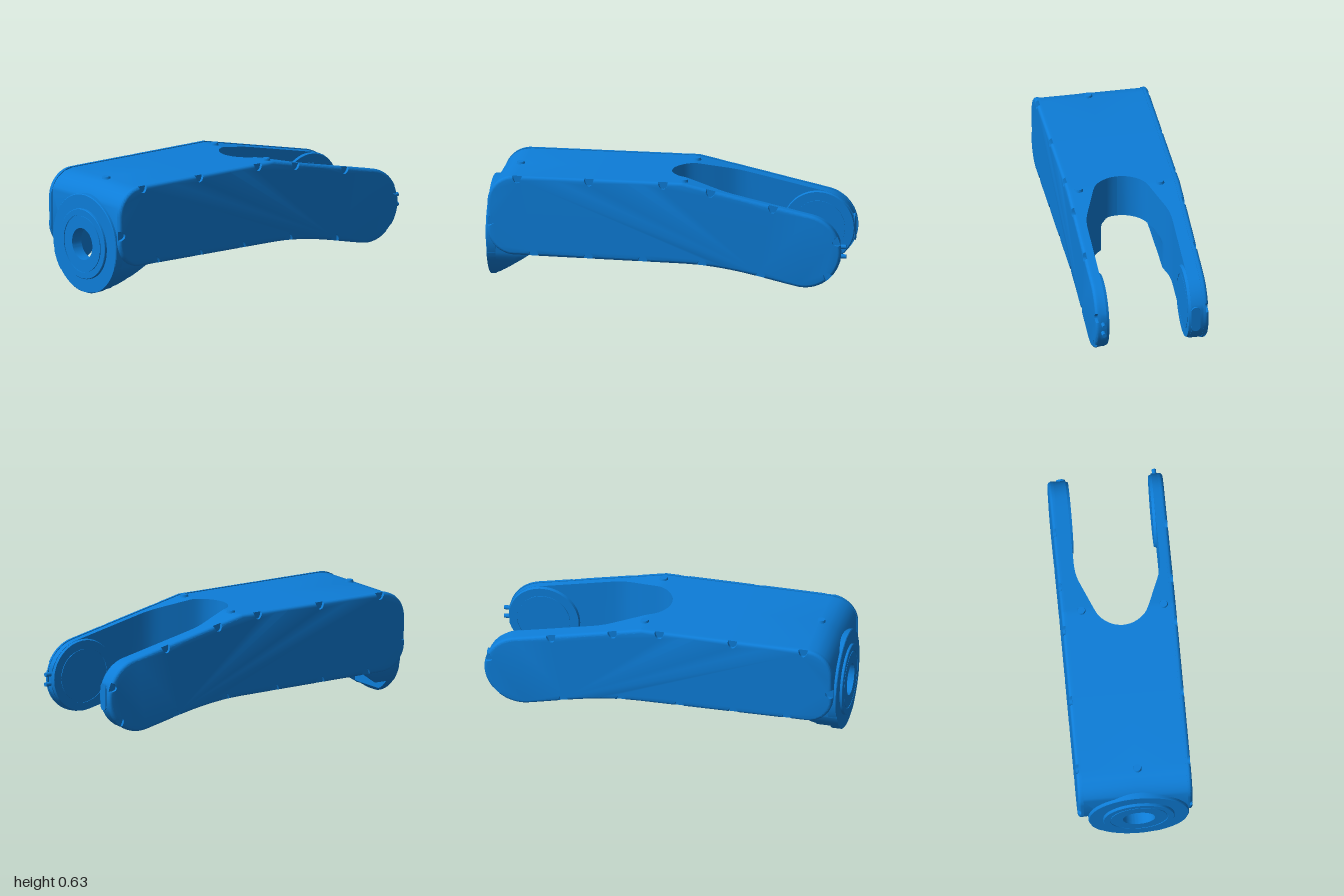
import * as THREE from 'three';
import { toCreasedNormals } from 'three/addons/utils/BufferGeometryUtils.js';

const material = new THREE.MeshStandardMaterial({ color: 0x0d7dd8 });
const MID = 0.015;          // z of the fork's centre plane
const AXIS_Y = 0.275;       // height of the rear flange axis
const V = (x, y, z) => new THREE.Vector3(x, y, z);

// Skins a list of equal-length closed rings and caps both ends.
// flat(p) projects a ring point to 2D for the caps.
function skin(rings, flat) {
  const tris = [];
  for (let k = 0; k + 1 < rings.length; k++) {
    const a = rings[k], b = rings[k + 1], n = a.length;
    for (let i = 0; i < n; i++) {
      const j = (i + 1) % n;
      tris.push([a[i], a[j], b[j]], [a[i], b[j], b[i]]);
    }
  }
  const cap = (ring, reverse) => {
    const c = ring.map(flat), sign = THREE.ShapeUtils.area(c);
    for (const [p, q, r] of THREE.ShapeUtils.triangulateShape(c.slice(), [])) {
      const same = THREE.ShapeUtils.area([c[p], c[q], c[r]]) * sign > 0;
      tris.push(same !== reverse ? [ring[p], ring[q], ring[r]] : [ring[p], ring[r], ring[q]]);
    }
  };
  cap(rings[0], true);
  cap(rings[rings.length - 1], false);
  // Turn everything outward if the enclosed volume is negative
  const volume = tris.reduce((s, [a, b, c]) => s + a.dot(V(0, 0, 0).crossVectors(b, c)), 0);
  const pos = [];
  for (const [a, b, c] of tris)
    for (const p of volume < 0 ? [a, c, b] : [a, b, c]) pos.push(p.x, p.y, p.z);
  const g = new THREE.BufferGeometry();
  g.setAttribute('position', new THREE.Float32BufferAttribute(pos, 3));
  return toCreasedNormals(g, 0.5);
}

// Side outline shared by the covers and the body
function sideOutline() {
  const s = new THREE.Shape();
  s.moveTo(-0.975, 0.475);
  s.lineTo(-0.975, 0.33);
  s.absarc(-0.825, 0.33, 0.15, Math.PI, 1.5 * Math.PI, false);
  s.lineTo(0.1, 0.17);
  s.bezierCurveTo(0.35, 0.165, 0.5, 0.118, 0.727, 0.0695);
  s.absarc(0.77, 0.27, 0.205, -1.78, 1.35, false);
  s.lineTo(0.1, 0.625);
  s.lineTo(-0.825, 0.625);
  s.absarc(-0.825, 0.475, 0.15, Math.PI / 2, Math.PI, false);
  return s.getSpacedPoints(700).slice(0, -1);
}

// Lowest and highest y of the outline at a given x
function spanAt(outline, x) {
  const ys = [];
  outline.forEach((p, i) => {
    const q = outline[(i + 1) % outline.length];
    if ((p.x - x) * (q.x - x) <= 0 && p.x !== q.x) ys.push(p.y + (q.y - p.y) * (x - p.x) / (q.x - p.x));
  });
  return [Math.min(...ys) + 0.004, Math.max(...ys) - 0.004];
}

// Rounded cover plate with screw notches round its edge
function coverGeometry(outline, z0, thick, side) {
  const n = outline.length;
  const centres = [[-0.81, 0.62], [-0.415, 0.62], [-0.005, 0.62], [0.26, 0.58], [0.6, 0.505],
    [0.96, 0.335], [0.91, 0.125], [0.53, 0.12], [0.21, 0.17], [-0.12, 0.175], [-0.42, 0.178],
    [-0.72, 0.18], [-0.972, 0.365]].map(([x, y]) => {
    const c = new THREE.Vector2(x, y);
    return outline.reduce((best, p) => (p.distanceTo(c) < best.distanceTo(c) ? p : best));
  });
  const notch = outline.map(p => {
    const d = Math.min(...centres.map(c => c.distanceTo(p)));
    return d < 0.02 ? 0.018 + Math.sqrt(0.0004 - d * d) : 0;
  });
  const inward = outline.map((p, i) => {
    const t = outline[(i + 1) % n].clone().sub(outline[(i + n - 1) % n]).normalize();
    return new THREE.Vector2(-t.y, t.x);
  });
  const levels = [[0, 0, 0], [thick - 0.016, 0, 0], [thick - 0.016, 0, 1], [thick - 0.011, 0.001, 1],
    [thick - 0.006, 0.004, 1], [thick - 0.002, 0.009, 1], [thick, 0.016, 1]];
  const rings = levels.map(([h, inset, cut]) => outline.map((p, i) => {
    const d = Math.max(inset, cut * notch[i]);
    return V(p.x + inward[i].x * d, p.y + inward[i].y * d, z0 + side * h);
  }));
  return skin(rings, p => new THREE.Vector2(p.x, p.y));
}

// Half of the body with its fork arm; the lower channel has a rounded ceiling
function bodyGeometry(outline, side, outer, channel) {
  const scoop = new THREE.SplineCurve([[0, 0], [0.003, 0.03], [0.012, 0.06], [0.04, 0.105], [0.085, 0.14],
    [0.2, 0.185], [0.31, 0.225], [0.38, 0.235]].map(p => new THREE.Vector2(...p))).getSpacedPoints(24);
  const stations = [-0.968, -0.96, -0.945, -0.92, -0.88, -0.825, -0.4].map(x => [x, 0]);
  scoop.forEach(p => stations.push([p.x, p.y]));
  for (const x of [0.45, 0.52, 0.6, 0.66, 0.727, 0.77, 0.815, 0.85, 0.88, 0.91, 0.935, 0.955, 0.966])
    stations.push([x, 0.235]);
  const rings = stations.map(([x, inner]) => {
    const [low, high] = spanAt(outline, x);
    const pts = [[outer, low], [outer, high], [inner, high], [inner, 0.37]];
    for (let i = 0; i <= 6; i++) {
      const a = i / 6 * Math.PI / 2;
      pts.push([channel - 0.06 + 0.06 * Math.sin(a), 0.31 + 0.06 * Math.cos(a)]);
    }
    pts.push([channel, low]);
    return pts.map(([w, y]) =>
      V(x, THREE.MathUtils.clamp(y, low, high), MID + side * Math.max(w, inner)));
  });
  return skin(rings, p => new THREE.Vector2(p.z, p.y));
}

// Sloping underside that joins the body to the round flange
const slopeY = x => Math.max(0, (x + 0.985) / 0.245 * 0.18);
function hubGeometry(side, channel) {
  const rings = [];
  for (let k = 0; k <= 8; k++) {
    const x = -0.985 + 0.245 * k / 8, ring = [];
    for (let i = 0; i <= 14; i++) {
      const w = channel + (0.258 - channel) * i / 14;
      ring.push(V(x, Math.max(AXIS_Y - Math.sqrt(0.275 ** 2 - w * w), slopeY(x)), MID + side * w));
    }
    const roof = k === 0 ? 0.3 : 0.32;
    ring.push(V(x, roof, MID + side * 0.258), V(x, roof, MID + side * channel));
    rings.push(ring);
  }
  return skin(rings, p => new THREE.Vector2(p.z, p.y));
}

const lathe = profile => new THREE.LatheGeometry(profile.map(p => new THREE.Vector2(...p)), 64);

export function createModel() {
  const group = new THREE.Group();
  const add = (name, geometry) => {
    const mesh = new THREE.Mesh(geometry, material);
    mesh.name = name;
    group.add(mesh);
    return mesh;
  };
  const outline = sideOutline();

  // Body halves, covers and hub undersides
  add('leftBodyArm', bodyGeometry(outline, 1, 0.27, 0.095));
  add('rightBodyArm', bodyGeometry(outline, -1, 0.3, 0.205));
  add('frontCover', coverGeometry(outline, 0.285, 0.026, 1));
  add('rearCover', coverGeometry(outline, -0.285, 0.03, -1));
  add('frontHubUnderside', hubGeometry(1, 0.095));
  add('rearHubUnderside', hubGeometry(-1, 0.205));

  // Round end flange with a through hole, trimmed to the sloping underside
  const flange = lathe([[0.088, 0], [0.275, 0], [0.275, 0.046], [0.271, 0.05], [0.088, 0.05], [0.088, 0]])
    .rotateZ(Math.PI / 2).translate(-0.935, AXIS_Y, MID);
  const pos = flange.attributes.position;
  for (let i = 0; i < pos.count; i++) pos.setY(i, Math.max(pos.getY(i), slopeY(pos.getX(i))));
  add('flange', toCreasedNormals(flange, 0.5));
  add('flangeRing', toCreasedNormals(lathe([[0.088, 0], [0.195, 0], [0.195, 0.012], [0.192, 0.015],
    [0.16, 0.015], [0.16, 0.01], [0.154, 0.01], [0.154, 0.015], [0.088, 0.015], [0.088, 0]])
    .rotateZ(Math.PI / 2).translate(-0.985, AXIS_Y, MID), 0.5));

  // Pivot discs on the inner faces of the fork tips
  for (const s of [1, -1])
    add(s > 0 ? 'frontPivotDisc' : 'rearPivotDisc', toCreasedNormals(lathe([[0, 0], [0.2, 0], [0.195, 0.015],
      [0.152, 0.015], [0.152, 0.011], [0.146, 0.011], [0.146, 0.015], [0, 0.015]])
      .rotateX(-s * Math.PI / 2).translate(0.77, 0.27, MID + s * 0.235), 0.5));

  // Screws on the top and at the front fork tip
  for (const [x, z] of [[0.1, -0.205], [0.1, 0.245], [-0.835, 0.02]])
    add('topScrew', new THREE.CylinderGeometry(0.02, 0.024, 0.014, 20)).position.set(x, 0.625, z);
  for (const y of [0.242, 0.296])
    add('tipScrew', new THREE.CylinderGeometry(0.012, 0.012, 0.04, 16).rotateZ(Math.PI / 2))
      .position.set(0.98, y, 0.27);

  // Connector pad on the rear fork tip
  const pad = new THREE.Shape();
  pad.absarc(0, 0.05, 0.025, 0, Math.PI, false);
  pad.absarc(0, -0.05, 0.025, Math.PI, 2 * Math.PI, false);
  add('connectorPad', new THREE.ExtrudeGeometry(pad, { depth: 0.03, bevelEnabled: false, curveSegments: 12 })
    .rotateY(Math.PI / 2)).position.set(0.94, 0.27, -0.243);
  return group;
}
